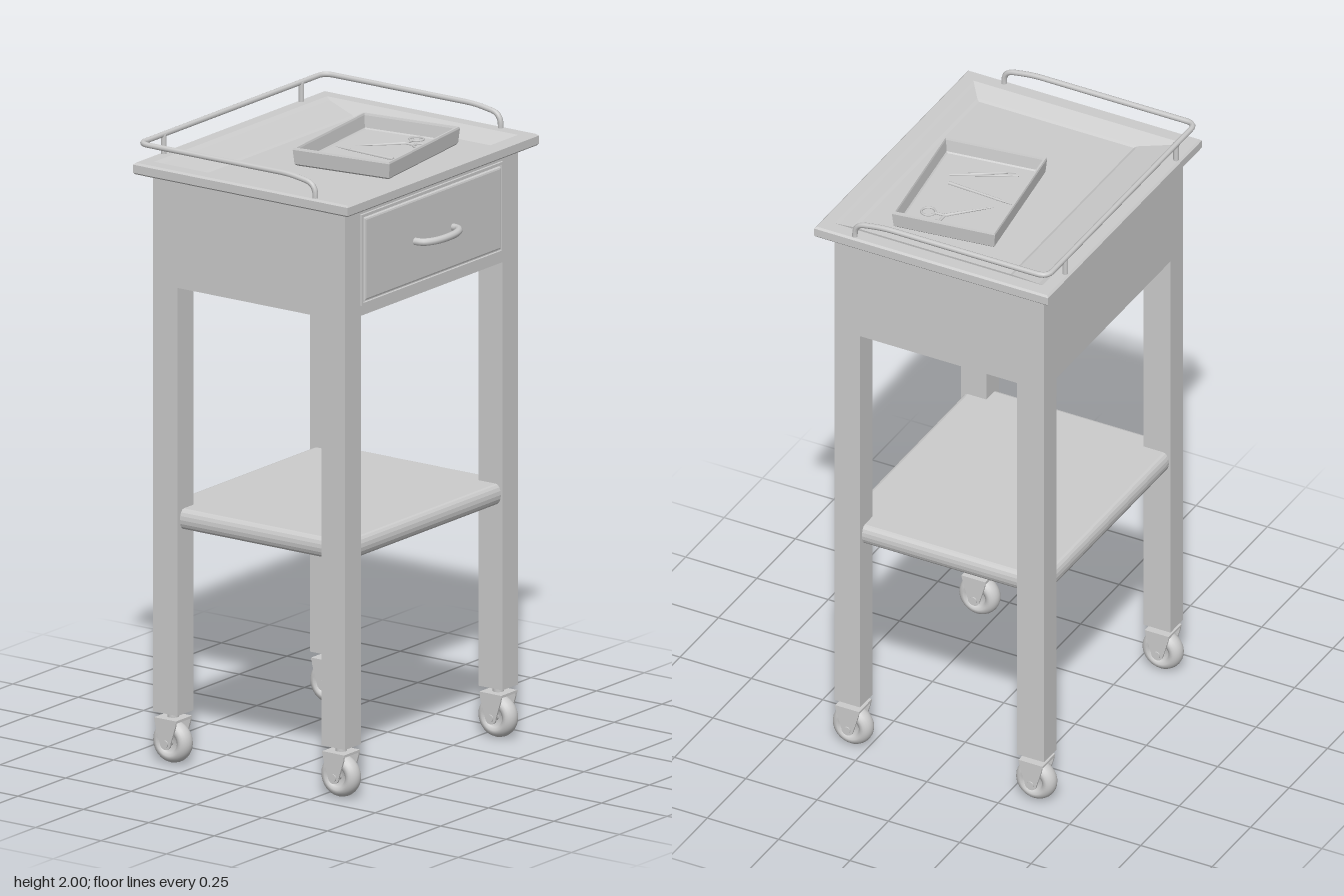
import * as THREE from 'three';

const grey = new THREE.MeshStandardMaterial({ color: 0xcccccc, side: THREE.DoubleSide });

function add(parent, name, geometry, x = 0, y = 0, z = 0) {
  const mesh = new THREE.Mesh(geometry, grey);
  mesh.name = name;
  mesh.position.set(x, y, z);
  parent.add(mesh);
  return mesh;
}

// Box given by its limits on each axis
function box(parent, name, x0, x1, y0, y1, z0, z1) {
  return add(parent, name, new THREE.BoxGeometry(x1 - x0, y1 - y0, z1 - z0),
    (x0 + x1) / 2, (y0 + y1) / 2, (z0 + z1) / 2);
}

// Closed skin through rectangular rings [x0, x1, halfZ, y], flat shaded
function rectLoft(rings) {
  const pos = [];
  const loops = rings.map(([x0, x1, h, y]) => [[x0, y, h], [x1, y, h], [x1, y, -h], [x0, y, -h]]);
  const quad = (a, b, c, d) => pos.push(...a, ...b, ...c, ...a, ...c, ...d);
  for (let i = 0; i < loops.length - 1; i++) {
    for (let k = 0; k < 4; k++) {
      const n = (k + 1) % 4;
      quad(loops[i][k], loops[i][n], loops[i + 1][n], loops[i + 1][k]);
    }
  }
  quad(...[...loops[0]].reverse());
  quad(...loops[loops.length - 1]);
  const g = new THREE.BufferGeometry();
  g.setAttribute('position', new THREE.Float32BufferAttribute(pos, 3));
  g.computeVertexNormals();
  return g;
}

// Path of straight runs with rounded corners
function roundedPath(points, r) {
  const path = new THREE.CurvePath();
  let last = points[0];
  for (let i = 1; i < points.length - 1; i++) {
    const p = points[i];
    const a = p.clone().add(points[i - 1].clone().sub(p).setLength(r));
    const b = p.clone().add(points[i + 1].clone().sub(p).setLength(r));
    path.add(new THREE.LineCurve3(last, a));
    path.add(new THREE.QuadraticBezierCurve3(a, p, b));
    last = b;
  }
  path.add(new THREE.LineCurve3(last, points[points.length - 1]));
  return path;
}

// Thin bar lying flat between two points, tapering from r0 to r1
function bar(parent, name, x0, z0, x1, z1, y, r0, r1) {
  const dir = new THREE.Vector3(x1 - x0, 0, z1 - z0);
  const m = add(parent, name, new THREE.CylinderGeometry(r1, r0, dir.length(), 8),
    (x0 + x1) / 2, y, (z0 + z1) / 2);
  m.quaternion.setFromUnitVectors(new THREE.Vector3(0, 1, 0), dir.normalize());
  return m;
}

function createCaster() {
  const caster = new THREE.Group();
  caster.name = 'caster';
  // Tyre with rounded tread and dished hub
  const profile = [new THREE.Vector2(0.002, -0.014), new THREE.Vector2(0.026, -0.014), new THREE.Vector2(0.032, -0.024)];
  for (let i = 0; i <= 10; i++) {
    const a = -Math.PI / 2 + (i / 10) * Math.PI;
    profile.push(new THREE.Vector2(0.042 + 0.026 * Math.cos(a), 0.03 * Math.sin(a)));
  }
  profile.push(new THREE.Vector2(0.032, 0.024), new THREE.Vector2(0.026, 0.014), new THREE.Vector2(0.002, 0.014));
  add(caster, 'wheel', new THREE.LatheGeometry(profile, 32), 0, 0.068, 0).rotation.x = Math.PI / 2;
  add(caster, 'axle', new THREE.CylinderGeometry(0.012, 0.012, 0.092, 12), 0, 0.068, 0).rotation.x = Math.PI / 2;
  // Fork: top plate and two tapered cheeks
  box(caster, 'forkPlate', -0.042, 0.042, 0.139, 0.147, -0.042, 0.042);
  const cheek = new THREE.Shape();
  cheek.moveTo(-0.042, 0.147);
  cheek.lineTo(-0.038, 0.125);
  cheek.lineTo(-0.02, 0.065);
  cheek.absarc(0, 0.068, 0.02, Math.PI, Math.PI * 2, false);
  cheek.lineTo(0.038, 0.125);
  cheek.lineTo(0.042, 0.147);
  for (const z of [-0.042, 0.036]) {
    add(caster, 'forkCheek', new THREE.ExtrudeGeometry(cheek, { depth: 0.006, bevelEnabled: false }), 0, 0, z);
  }
  add(caster, 'stem', new THREE.CylinderGeometry(0.018, 0.018, 0.03, 16), 0, 0.157, 0);
  return caster;
}

export function createModel() {
  const model = new THREE.Group();
  model.name = 'trolley';

  // Cabinet, legs and casters
  box(model, 'cabinet', -0.385, 0.35, 1.54, 1.892, -0.452, 0.452);
  for (const [x0, x1] of [[-0.385, -0.29], [0.26, 0.35]]) {
    for (const s of [-1, 1]) {
      box(model, 'leg', x0, x1, 0.165, 1.54, Math.min(s * 0.37, s * 0.452), Math.max(s * 0.37, s * 0.452));
      const caster = createCaster();
      caster.position.set((x0 + x1) / 2, 0, s * 0.411);
      model.add(caster);
    }
  }

  // Lower shelf with rolled edge
  const shelfRings = [];
  for (let i = 0; i <= 8; i++) {
    const a = -Math.PI / 2 + (i / 8) * Math.PI;
    const out = 0.02 * Math.cos(a);
    shelfRings.push([-0.36 - out, 0.325 + out, 0.42 + out, 0.792 + 0.033 * Math.sin(a)]);
  }
  add(model, 'shelf', rectLoft(shelfRings));

  // Table top with a sunken floor
  add(model, 'tableTop', rectLoft([
    [-0.42, 0.39, 0.495, 1.893], [-0.425, 0.395, 0.5, 1.898], [-0.425, 0.395, 0.5, 1.924],
    [-0.419, 0.389, 0.494, 1.93], [-0.38, 0.35, 0.452, 1.93], [-0.36, 0.34, 0.44, 1.923],
    [-0.25, 0.312, 0.407, 1.902], [-0.24, 0.303, 0.4, 1.897],
  ]));

  // Drawer: surround, bevelled front and bow handle
  const frame = new THREE.Shape();
  const rect = (s, w, h) => s.moveTo(-w, -h).lineTo(w, -h).lineTo(w, h).lineTo(-w, h).closePath();
  rect(frame, 0.37, 0.146);
  const hole = new THREE.Path();
  rect(hole, 0.362, 0.138);
  frame.holes.push(hole);
  add(model, 'drawerFrame', new THREE.ExtrudeGeometry(frame, { depth: 0.008, bevelEnabled: false }),
    0.35, 1.72, 0.005).rotation.y = Math.PI / 2;
  const front = new THREE.Shape();
  rect(front, 0.35, 0.126);
  add(model, 'drawerFront', new THREE.ExtrudeGeometry(front,
    { depth: 0.004, bevelSize: 0.007, bevelThickness: 0.006, bevelSegments: 2 }),
  0.35, 1.72, 0.005).rotation.y = Math.PI / 2;
  const bow = new THREE.CatmullRomCurve3([[0.355, 0.1], [0.385, 0.092], [0.405, 0.06], [0.413, 0],
    [0.405, -0.06], [0.385, -0.092], [0.355, -0.1]].map(([x, z]) => new THREE.Vector3(x, 1.718, z)));
  add(model, 'handle', new THREE.TubeGeometry(bow, 32, 0.012, 10));

  // Guard rail round three sides, with posts at the back
  const V = (x, y, z) => new THREE.Vector3(x, y, z);
  const railPath = roundedPath([
    V(0.26, 1.925, 0.485), V(0.26, 1.975, 0.485), V(0.16, 1.991, 0.485), V(-0.413, 1.991, 0.485),
    V(-0.413, 1.991, -0.485), V(0.16, 1.991, -0.485), V(0.26, 1.975, -0.485), V(0.26, 1.925, -0.485),
  ], 0.035);
  add(model, 'rail', new THREE.TubeGeometry(railPath, 200, 0.009, 8));
  for (const z of [-0.36, 0.36]) {
    add(model, 'railPost', new THREE.CylinderGeometry(0.009, 0.009, 0.07, 10), -0.41, 1.958, z);
  }

  // Instrument tray, set askew
  const tray = new THREE.Group();
  tray.name = 'instrumentTray';
  tray.position.set(0.066, 0, -0.1);
  tray.rotation.y = 0.133;
  model.add(tray);
  add(tray, 'tray', rectLoft([
    [0.16, 0.216, 1.898], [0.166, 0.223, 1.904], [0.17, 0.228, 1.95], [0.168, 0.226, 1.956],
    [0.162, 0.22, 1.956], [0.16, 0.218, 1.95], [0.156, 0.213, 1.912], [0.152, 0.209, 1.908],
  ].map(([x, z, y]) => [-x, x, z, y])));

  // Scissors, scalpel and tweezers
  const y = 1.91;
  const scissors = new THREE.Group();
  scissors.name = 'scissors';
  model.add(scissors);
  for (const [x, z, tipX, tipZ] of [[0.085, -0.285, -0.022, -0.118], [0.14, -0.23, -0.025, -0.115]]) {
    add(scissors, 'fingerRing', new THREE.TorusGeometry(0.022, 0.004, 6, 20), x, y, z).rotation.x = Math.PI / 2;
    const px = 0.085, pz = -0.225;
    const d = Math.hypot(px - x, pz - z);
    bar(scissors, 'shank', x + (px - x) * 0.022 / d, z + (pz - z) * 0.022 / d, px, pz, y, 0.004, 0.005);
    bar(scissors, 'blade', px, pz, tipX, tipZ, y, 0.006, 0.0015);
  }
  bar(model, 'scalpelHandle', 0.16, -0.06, -0.01, -0.069, y, 0.006, 0.004);
  bar(model, 'scalpelBlade', -0.01, -0.069, -0.07, -0.074, y, 0.005, 0.001);
  bar(model, 'tweezerArm', 0.18, -0.018, -0.012, 0.076, y, 0.005, 0.002);
  bar(model, 'tweezerArm', 0.18, -0.018, 0.005, 0.088, y, 0.005, 0.002);

  return model;
}
